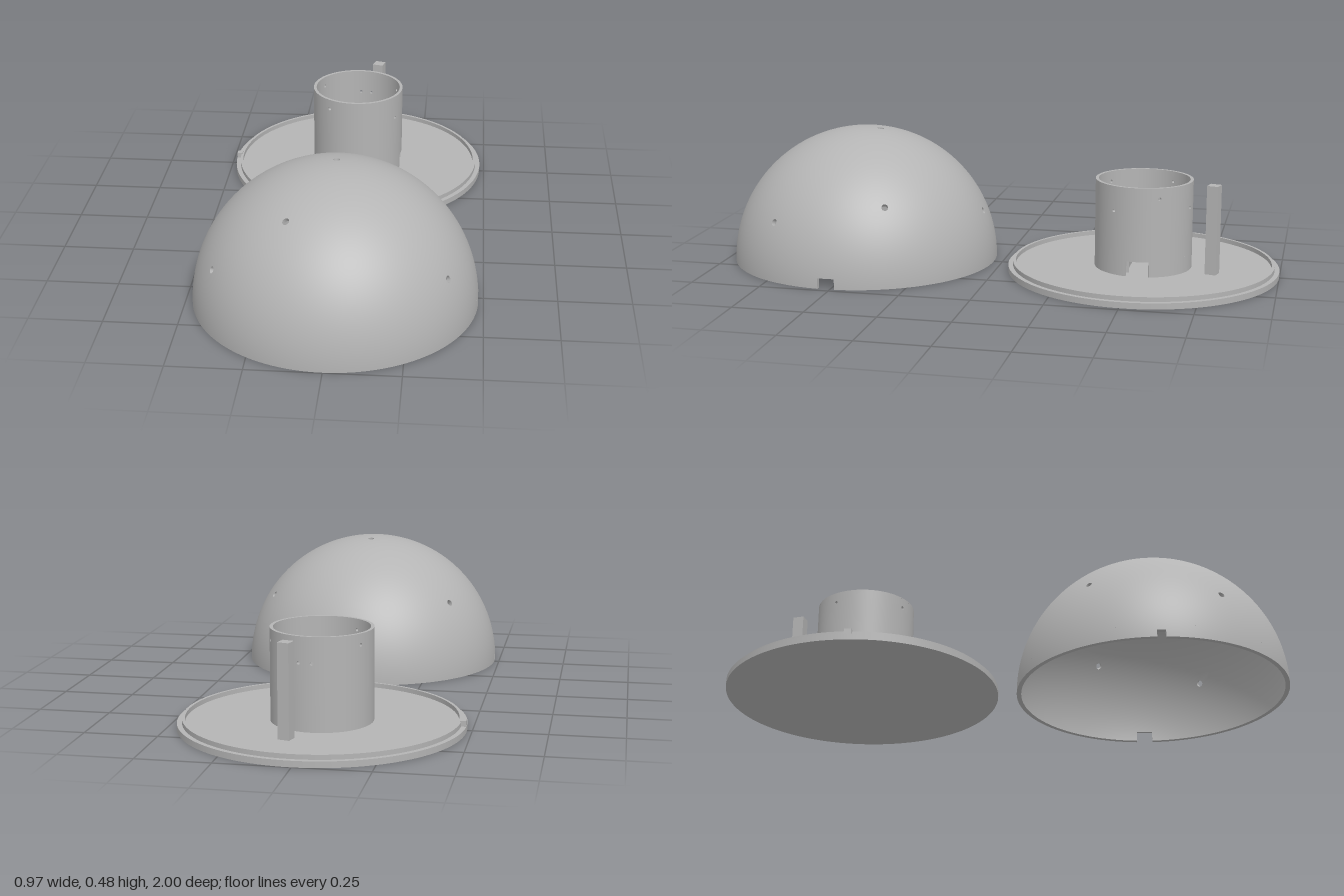
import * as THREE from 'three';

const V = (x, y, z) => new THREE.Vector3(x, y, z);
const DOME_Z = 0.515, BASE_Z = -0.517;
const DOME_R = 0.483, DOME_IN = 0.467;
const RIM = Math.asin(0.045 / DOME_R); // elevation where the dome cap meets its bottom band

// The two kinds of curved wall: point from (angle, height, radius), projection and normal
const sphere = {
  point: (a, el, r) => V(r * Math.sin(a) * Math.cos(el), r * Math.sin(el), r * Math.cos(a) * Math.cos(el)),
  project: (p, r) => p.clone().setLength(r),
  normal: (p) => p.clone().normalize(),
};
const tube = {
  point: (a, y, r) => V(r * Math.sin(a), y, r * Math.cos(a)),
  project: (p, r) => V(p.x, 0, p.z).setLength(r).setY(p.y),
  normal: (p) => V(p.x, 0, p.z).normalize(),
};

// Solid curved block between two angles, two heights and two radii
function bandGeometry(surface, a0, a1, h0, h1, r0, r1) {
  const segs = Math.max(2, Math.round((a1 - a0) / (Math.PI / 96)));
  const g = new THREE.BoxGeometry(1, 1, 1, segs, 3, 1);
  const pos = g.attributes.position, nor = g.attributes.normal;
  const side = Array.from({ length: pos.count }, (_, i) => Math.round(nor.getZ(i)));
  for (let i = 0; i < pos.count; i++) {
    const p = surface.point(
      THREE.MathUtils.lerp(a0, a1, pos.getX(i) + 0.5),
      THREE.MathUtils.lerp(h0, h1, pos.getY(i) + 0.5),
      pos.getZ(i) > 0 ? r1 : r0);
    pos.setXYZ(i, p.x, p.y, p.z);
  }
  g.computeVertexNormals();
  side.forEach((s, i) => {
    if (!s) return;
    const n = surface.normal(V(pos.getX(i), pos.getY(i), pos.getZ(i))).multiplyScalar(s);
    nor.setXYZ(i, n.x, n.y, n.z);
  });
  return g;
}

// Double-walled shell over a grid, with round holes bored through it
function shellGeometry(surface, map, nu, nv, rIn, rOut, holes, holeR) {
  const P = [], N = [];
  const tri = (pts, nrm) => {
    const face = pts[1].clone().sub(pts[0]).cross(pts[2].clone().sub(pts[0]));
    const order = face.dot(nrm[0]) < 0 ? [0, 2, 1] : [0, 1, 2];
    for (const k of order) { P.push(...pts[k].toArray()); N.push(...nrm[k].toArray()); }
  };
  const quad = (p, n) => {
    tri([p[0], p[1], p[2]], [n[0], n[1], n[2]]);
    tri([p[0], p[2], p[3]], [n[0], n[2], n[3]]);
  };
  const skin = (corners) => {
    const n = corners.map(surface.normal);
    quad(corners.map((p) => surface.project(p, rOut)), n);
    quad(corners.map((p) => surface.project(p, rIn)), n.map((v) => v.clone().negate()));
  };
  const grid = [];
  for (let i = 0; i <= nu; i++) {
    grid.push([]);
    for (let j = 0; j <= nv; j++) grid[i].push(surface.project(map(i / nu, j / nv), rOut));
  }

  const cut = new Set();
  for (const h of holes) {
    // Open a 4 x 4 cell window around the hole
    const c = surface.project(V(...h), rOut), axis = surface.normal(c);
    let bi = 0, bj = 0, best = Infinity;
    grid.forEach((row, i) => row.forEach((p, j) => {
      const d = p.distanceTo(c);
      if (d < best) { best = d; bi = i; bj = j; }
    }));
    for (let i = -2; i < 2; i++) for (let j = -2; j < 2; j++) cut.add((bi + i) * 1000 + bj + j);
    const loop = [];
    for (let k = -2; k < 2; k++) loop.push([k, -2]);
    for (let k = -2; k < 2; k++) loop.push([2, k]);
    for (let k = 2; k > -2; k--) loop.push([k, 2]);
    for (let k = 2; k > -2; k--) loop.push([-2, k]);
    // Join the window edge to the round hole and line the hole
    const outer = loop.map(([i, j]) => grid[bi + i][bj + j]);
    const circle = outer.map((p) => {
      const d = p.clone().sub(c);
      d.addScaledVector(axis, -d.dot(axis)).setLength(holeR);
      return surface.project(d.add(c), rOut);
    });
    outer.forEach((p, k) => {
      const m = (k + 1) % outer.length, a = circle[k], b = circle[m];
      skin([p, outer[m], b, a]);
      const na = c.clone().sub(a).normalize(), nb = c.clone().sub(b).normalize();
      quad([a, b, surface.project(b, rIn), surface.project(a, rIn)], [na, nb, nb, na]);
    });
  }
  for (let i = 0; i < nu; i++) for (let j = 0; j < nv; j++) {
    if (!cut.has(i * 1000 + j)) skin([grid[i][j], grid[i + 1][j], grid[i + 1][j + 1], grid[i][j + 1]]);
  }
  const g = new THREE.BufferGeometry();
  g.setAttribute('position', new THREE.Float32BufferAttribute(P, 3));
  g.setAttribute('normal', new THREE.Float32BufferAttribute(N, 3));
  return g;
}

// Square grid wrapped evenly over the dome cap
function capPoint(s, t) {
  const u = s * 2 - 1, v = t * 2 - 1, r = Math.max(Math.abs(u), Math.abs(v));
  if (r < 1e-9) return V(0, 1, 0);
  const a = Math.abs(u) > Math.abs(v)
    ? (Math.PI / 4) * (v / u) + (u < 0 ? Math.PI : 0)
    : Math.PI / 2 - (Math.PI / 4) * (u / v) + (v < 0 ? Math.PI : 0);
  return sphere.point(a, Math.PI / 2 - r * (Math.PI / 2 - RIM), 1);
}

export function createModel() {
  const model = new THREE.Group();
  const grey = new THREE.MeshStandardMaterial({ color: 0xb4b4b4 });
  grey.name = 'plainGrey';
  const add = (parent, name, geometry, x = 0, y = 0, z = 0) => {
    const mesh = new THREE.Mesh(geometry, grey);
    mesh.name = name;
    mesh.position.set(x, y, z);
    parent.add(mesh);
    return mesh;
  };
  const group = (name, z) => {
    const g = new THREE.Group();
    g.name = name;
    g.position.z = z;
    model.add(g);
    return g;
  };
  const Q = Math.PI / 2;

  // Dome: pierced cap on a bottom band with a wide notch at +x and a small one at -x
  const dome = group('dome', DOME_Z);
  const domeHoles = [
    [0, 0.479, -0.06], [-0.137, 0.4, 0.24], [0.38, 0.2, 0.217], [-0.383, 0.2, 0.217],
    [0.36, 0.27, -0.18], [-0.33, 0.27, -0.23], [0, 0.19, -0.445],
  ];
  add(dome, 'domeCap', shellGeometry(sphere, capPoint, 64, 64, DOME_IN, DOME_R, domeHoles, 0.012));
  const wide = 0.062, small = 0.031;
  for (const [name, a0, a1, el] of [
    ['domeBandFront', -Q + small, Q - wide, 0],
    ['domeBandBack', Q + wide, 3 * Q - small, 0],
    ['wideNotchTop', Q - wide, Q + wide, 0.0767],
    ['smallNotchTop', 3 * Q - small, 3 * Q + small, 0.052],
  ]) add(dome, name, bandGeometry(sphere, a0, a1, el, RIM, DOME_IN, DOME_R));

  // Base plate with a raised locating lip and key
  const base = group('base', BASE_Z);
  add(base, 'basePlate', new THREE.CylinderGeometry(DOME_R, DOME_R, 0.021, 160), 0, 0.0105, 0);
  add(base, 'baseLip', bandGeometry(tube, 0, 4 * Q, 0.02, 0.037, 0.456, 0.466));
  add(base, 'lipKey', new THREE.BoxGeometry(0.02, 0.02, 0.026), -0.472, 0.03, 0);

  // Cylindrical housing with bored holes and a cable notch at +x
  const TOP = 0.338, R0 = 0.162, R1 = 0.173, gap = 0.24;
  const housingHoles = [
    [0.15, 0.25, 0.087], [0.157, 0.3, -0.073], [-0.138, 0.3, -0.087],
    [0, 0.25, -0.17], [0.044, 0.25, -0.165], [-0.1, 0.3, 0.142],
  ];
  const wallPoint = (s, t) => tube.point(s * 4 * Q, 0.08 + t * (TOP - 0.085), 1);
  add(base, 'housingWall', shellGeometry(tube, wallPoint, 144, 34, R0, R1, housingHoles, 0.006));
  add(base, 'housingRim', bandGeometry(tube, 0, 4 * Q, TOP - 0.005, TOP, R0, R1));
  add(base, 'housingFoot', bandGeometry(tube, Q + gap, 5 * Q - gap, 0.02, 0.08, R0, R1));
  add(base, 'housingNotchTop', bandGeometry(tube, Q - gap, Q + gap, 0.075, 0.08, R0, R1));

  // U-shaped holder inside the housing, open towards the notch
  const H = 0.045, Y = 0.02 + H / 2;
  add(base, 'holderBack', new THREE.BoxGeometry(0.01, H, 0.1), -0.045, Y, 0);
  for (const s of [1, -1]) {
    add(base, 'holderSide', new THREE.BoxGeometry(0.17, H, 0.008), 0.035, Y, s * 0.046);
    add(base, 'holderHook', new THREE.BoxGeometry(0.006, H, 0.01), 0.117, Y, s * 0.039);
  }

  // Free-standing post behind the housing
  const post = add(base, 'post', new THREE.BoxGeometry(0.04, TOP - 0.02, 0.04), 0.067, (TOP + 0.02) / 2, -0.252);
  post.rotation.y = -0.26;
  return model;
}
